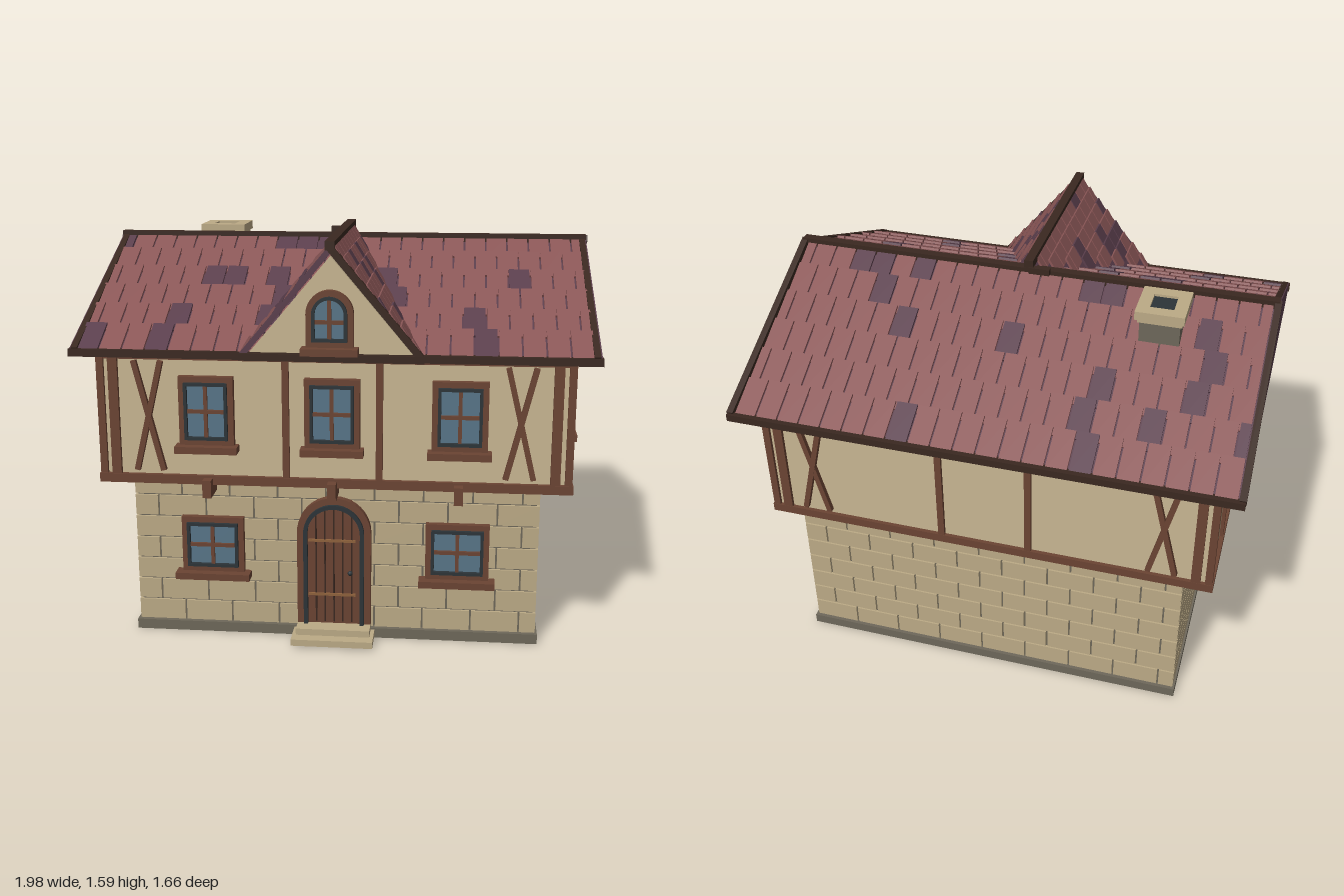
import * as THREE from 'three';
import { mergeGeometries } from 'three/addons/utils/BufferGeometryUtils.js';

const mat = (name, color) => Object.assign(new THREE.MeshStandardMaterial({ color }), { name });
const M = {
  plaster: mat('plaster', 0xc8b692), stone: mat('stone', 0xbcaa86), grey: mat('greyStone', 0x6e685a),
  timber: mat('timber', 0x6b4433), dark: mat('darkTimber', 0x3a2820), tile: mat('redTile', 0x8a5656),
  purple: mat('purpleTile', 0x5a3e4c), iron: mat('darkLining', 0x2c3438), glass: mat('glass', 0x587588),
  brass: mat('brass', 0x8f623c),
};
const V = (x, y, z) => new THREE.Vector3(x, y, z);

function add(parent, name, geo, material) {
  const m = new THREE.Mesh(geo, material);
  m.name = name;
  parent.add(m);
  return m;
}
// Box given by its lower and upper limits on each axis
function box(x0, x1, y0, y1, z0, z1) {
  return new THREE.BoxGeometry(x1 - x0, y1 - y0, z1 - z0).translate((x0 + x1) / 2, (y0 + y1) / 2, (z0 + z1) / 2);
}
// Square bar from p to q; side is a direction across its width
function bar(p, q, w, h, side) {
  const d = q.clone().sub(p), len = d.length(), v = d.normalize();
  const n = side.clone().cross(v).normalize(), u = v.clone().cross(n);
  return new THREE.BoxGeometry(w, len, h).applyMatrix4(
    new THREE.Matrix4().makeBasis(u, v, n).setPosition(p.clone().add(q).multiplyScalar(0.5)));
}
// Opening outline, square or round-topped, standing on y0
function outline(w, y0, y1, arched, Type = THREE.Shape) {
  const s = new Type(), r = w / 2;
  s.moveTo(-r, y0).lineTo(r, y0);
  if (arched) s.lineTo(r, y1 - r).absarc(0, y1 - r, r, 0, Math.PI, false);
  else s.lineTo(r, y1).lineTo(-r, y1);
  s.lineTo(-r, y0);
  return s;
}
function ring(w, y0, y1, t, arched, depth, bottom = t) {
  const s = outline(w, y0, y1, arched);
  s.holes.push(outline(w - 2 * t, y0 + bottom, y1 - t, arched, THREE.Path));
  return new THREE.ExtrudeGeometry(s, { depth, bevelEnabled: false, curveSegments: 10 });
}
const slab = (shape, depth) => new THREE.ExtrudeGeometry(shape, { depth, bevelEnabled: false, curveSegments: 10 });

function makeWindow(w, h, sillW, arched = false, bar0 = 0.5) {
  const g = new THREE.Group();
  g.name = 'window';
  add(g, 'windowFrame', ring(w, 0, h, 0.022, arched, 0.027), M.timber);
  add(g, 'windowLining', ring(w - 0.044, 0.022, h - 0.022, 0.012, arched, 0.04), M.iron);
  add(g, 'windowGlass', slab(outline(w - 0.06, 0.03, h - 0.03, arched), 0.025), M.glass);
  const y = h * bar0;
  add(g, 'windowBars', mergeGeometries([
    box(-0.007, 0.007, 0.03, h - 0.03, 0.02, 0.036),
    box(-w / 2 + 0.03, w / 2 - 0.03, y - 0.007, y + 0.007, 0.02, 0.036)]), M.timber);
  add(g, 'windowSill', box(-sillW / 2, sillW / 2, -0.027, 0, 0, 0.06), M.timber);
  return g;
}

// Small seeded generator for tile colours
let seed = 11;
const rand = () => (seed = (seed * 16807) % 2147483647) / 2147483647;

// Rows of tilted tiles; range(t) gives the start and end along u for a row at fraction t up the slope
function tileRoof(parent, name, o, u, v, length, rows, width, range) {
  const n = u.clone().cross(v), h = length / rows, sets = [[], []];
  for (let r = 0; r < rows; r++) {
    const [a, b] = range((r + 0.3) / rows);
    const len = r === rows - 1 ? h : h * 1.2;
    for (let s = a - (r % 2) * width / 2; s < b - 0.005; s += width) {
      const s0 = Math.max(s, a), s1 = Math.min(s + width, b);
      if (s1 - s0 < 0.02) continue;
      const g = new THREE.BoxGeometry(s1 - s0 - 0.007, len, 0.009).rotateX(0.01 / h);
      const c = o.clone().addScaledVector(u, (s0 + s1) / 2).addScaledVector(v, r * h + len / 2).addScaledVector(n, 0.012);
      g.applyMatrix4(new THREE.Matrix4().makeBasis(u, v, n).setPosition(c));
      sets[rand() < 0.15 ? 1 : 0].push(g);
    }
  }
  sets.forEach((l, i) => l.length && add(parent, name + (i ? 'PurpleTiles' : 'RedTiles'), mergeGeometries(l), i ? M.purple : M.tile));
}

// Staggered stone blocks over one wall of the ground floor
function stoneWall(width) {
  const list = [], rowH = 0.0885, w = 0.19;
  for (let r = 0; r < 7; r++) {
    const y0 = 0.04 + r * rowH, y1 = Math.min(y0 + rowH - 0.007, 0.645);
    for (let s = -width / 2 - (r % 2) * w / 2; s < width / 2 - 0.01; s += w) {
      const a = Math.max(s, -width / 2), b = Math.min(s + w - 0.007, width / 2);
      if (b - a > 0.015) list.push(box(a, b, y0, y1, -0.01, 0.01));
    }
  }
  return mergeGeometries(list);
}

function place(parent, obj, x, y, z, ry = 0) {
  obj.position.set(x, y, z);
  obj.rotation.y = ry;
  parent.add(obj);
}

export function createModel() {
  const house = new THREE.Group();
  house.name = 'house';
  const part = (name, geo, m) => add(house, name, geo, m);

  // Ground floor
  part('plinth', box(-0.8, 0.8, 0, 0.04, -0.73, 0.66), M.grey);
  part('mortarCore', box(-0.782, 0.782, 0.03, 0.645, -0.706, 0.632), M.grey);
  [[0, 0.632, 0, 1.58], [0, -0.706, Math.PI, 1.58], [0.782, -0.037, Math.PI / 2, 1.352], [-0.782, -0.037, -Math.PI / 2, 1.352]]
    .forEach(([x, z, ry, w]) => {
      const m = part('stoneBlocks', stoneWall(w), M.stone);
      m.position.set(x, 0, z);
      m.rotation.y = ry;
    });
  part('lowerStep', box(-0.16, 0.16, 0.008, 0.034, 0.63, 0.78), M.stone);
  part('upperStep', box(-0.145, 0.145, 0.034, 0.06, 0.63, 0.735), M.stone);

  // Arched door
  const door = new THREE.Group();
  door.name = 'door';
  add(door, 'doorFrame', ring(0.29, 0, 0.525, 0.026, true, 0.034, 0), M.timber);
  add(door, 'doorLining', ring(0.238, 0, 0.499, 0.016, true, 0.048, 0), M.iron);
  add(door, 'doorLeaf', slab(outline(0.21, 0, 0.485, true), 0.03), M.timber);
  const seams = [-0.07, -0.035, 0, 0.035, 0.07].map(x =>
    box(x - 0.003, x + 0.003, 0.01, 0.375 + Math.sqrt(0.103 ** 2 - x * x), 0.028, 0.033));
  add(door, 'plankSeams', mergeGeometries(seams), M.dark);
  add(door, 'doorHinges', mergeGeometries([0.125, 0.35].map(y => box(-0.1, 0.085, y - 0.005, y + 0.005, 0.03, 0.037))), M.brass);
  add(door, 'doorHandle', new THREE.SphereGeometry(0.01, 10, 8).translate(0.065, 0.22, 0.042), M.iron);
  place(house, door, 0, 0.058, 0.638);

  // Upper floor with timber framing
  part('upperWalls', box(-0.89, 0.89, 0.65, 1.155, -0.73, 0.695), M.plaster);
  part('floorBeam', box(-0.908, 0.908, 0.637, 0.672, -0.745, 0.713), M.timber);
  part('topBeam', box(-0.9, 0.9, 1.125, 1.15, -0.74, 0.705), M.timber);
  const posts = [], braces = [];
  for (const [z0, z1, zb] of [[0.68, 0.71, 0.704], [-0.744, -0.715, -0.739]]) {
    for (const [x, w] of [[-0.84, 0.037], [-0.178, 0.026], [0.178, 0.026], [0.84, 0.037]])
      posts.push(box(x - w / 2, x + w / 2, 0.66, 1.14, z0, z1));
    for (const s of [-1, 1]) for (const t of [-1, 1])
      braces.push(bar(V(s * 0.706 - t * 0.052, 0.69, zb), V(s * 0.706 + t * 0.052, 1.12, zb + t * 0.002), 0.021, 0.022, V(1, 0, 0)));
  }
  for (const s of [-1, 1]) for (const z of [0.693, 0.405, -0.017, -0.44, -0.728])
    posts.push(box(s * 0.89 - 0.014, s * 0.89 + 0.014, 0.66, 1.14, z - 0.015, z + 0.015));
  part('posts', mergeGeometries(posts), M.timber);
  part('crossBraces', mergeGeometries(braces), M.timber);
  part('corbels', mergeGeometries([-0.48, 0, 0.48].map(x => box(x - 0.017, x + 0.017, 0.595, 0.664, 0.62, 0.752))), M.timber);

  // Windows
  for (const x of [-0.48, 0, 0.48]) place(house, makeWindow(0.21, 0.267, 0.24), x, 0.798, 0.696);
  for (const x of [-0.48, 0.48]) place(house, makeWindow(0.246, 0.225, 0.295), x, 0.262, 0.64);
  for (const s of [-1, 1]) for (const z of [0.247, -0.242])
    place(house, makeWindow(0.185, 0.262, 0.22), s * 0.89, 0.772, z, s * Math.PI / 2);

  // Main roof
  const ridge = V(0, 1.5, -0.035), front = V(0, 1.157, 0.755), back = V(0, 1.157, -0.825);
  const prism = (lift, x0, x1) => {
    const s = new THREE.Shape();
    s.moveTo(front.z, 1.145).lineTo(front.z, 1.155 + lift).lineTo(ridge.z, ridge.y + lift).lineTo(back.z, 1.155).lineTo(back.z, 1.145);
    return slab(s, x1 - x0).rotateY(-Math.PI / 2).translate(x1, 0, 0);
  };
  part('roofCore', prism(0, -0.975, 0.975), M.purple);
  part('gablePanels', mergeGeometries([prism(0.02, -0.985, -0.975), prism(0.02, 0.975, 0.985)]), M.purple);
  const slopes = [['front', front, V(1, 0, 0), -0.965], ['back', back, V(-1, 0, 0), -0.965]];
  for (const [name, o, u, a] of slopes) {
    const v = ridge.clone().sub(o), len = v.length();
    tileRoof(house, name, o, u, v.normalize(), len, 6, 0.0877, () => [a, -a]);
  }
  const trim = [
    box(-0.99, 0.99, 1.143, 1.172, 0.735, 0.765), box(-0.99, 0.99, 1.143, 1.172, -0.84, -0.81),
    box(-0.985, 0.985, 1.5, 1.533, -0.053, -0.017)];
  for (const s of [-1, 1]) {
    const at = (p, x, dy) => V(s * x, p.y + dy, p.z);
    trim.push(bar(at(back, 0.979, 0.008), at(ridge, 0.979, 0.018), 0.026, 0.03, V(1, 0, 0)));
    trim.push(bar(at(front, 0.968, 0.008), at(ridge, 0.968, 0.011), 0.024, 0.026, V(1, 0, 0)));
  }
  part('roofTrim', mergeGeometries(trim), M.dark);

  // Front dormer
  const dz = 0.765, top = 1.555, foot = 1.157, half = 0.335;
  const zAt = y => front.z + (ridge.z - front.z) * Math.min(1, (y - front.y) / (ridge.y - front.y));
  const tri = (w, y0, y1) => new THREE.Shape([new THREE.Vector2(-w, y0), new THREE.Vector2(w, y0), new THREE.Vector2(0, y1)]);
  part('dormerWall', slab(tri(half - 0.02, foot, top - 0.025), 0.02).translate(0, 0, 0.738), M.plaster);
  for (const s of [-1, 1]) {
    // Sloping deck that tapers back into the main roof
    const deck = new THREE.BufferGeometry();
    const a = [s * half, foot, dz], b = [0, top, dz], c = [0, top, -0.08], d = [s * half, foot, 0.74];
    const tris = s > 0 ? [a, c, b, a, d, c] : [a, b, c, a, c, d];
    deck.setAttribute('position', new THREE.Float32BufferAttribute(tris.flat(), 3));
    deck.computeVertexNormals();
    const deckMat = M.purple;
    deckMat.side = THREE.DoubleSide;
    part('dormerDeck', deck, deckMat);
    const v = V(-s * half, top - foot, 0), len = v.length();
    v.normalize();
    const u = V(0, 0, -s);
    tileRoof(house, 'dormer', V(s * half, foot, 0), u, v, len, 8, 0.085, t => {
      const zb = zAt(foot + t * (top - foot)) + 0.01;
      return s > 0 ? [-dz, -zb] : [zb, dz];
    });
  }
  part('dormerVerge', bar(V(-half, foot, 0.76), V(0, top, 0.76), 0.02, 0.022, V(0, 0, 1)), M.purple);
  part('dormerTrim', mergeGeometries([
    bar(V(half, foot + 0.003, 0.762), V(0, top + 0.005, 0.762), 0.026, 0.026, V(0, 0, 1)),
    box(-half - 0.005, half + 0.01, 1.143, 1.17, 0.75, 0.778),
    box(-0.018, 0.018, 1.552, 1.585, -0.085, 0.777),
    box(-0.085, 0.0, 1.53, 1.556, -0.09, -0.066)]), M.dark);
  place(house, makeWindow(0.175, 0.21, 0.21, true, 0.45), 0, 1.2, 0.765);

  // Chimney with a square flue
  const chimney = new THREE.Group();
  chimney.name = 'chimney';
  add(chimney, 'chimneyStack', box(-0.078, 0.078, -0.22, 0, -0.078, 0.078), M.grey);
  add(chimney, 'chimneyBand', box(-0.086, 0.086, -0.018, 0.002, -0.086, 0.086), M.stone);
  const cap = outline(0.19, -0.1, 0.1, false);
  cap.holes.push(outline(0.092, -0.05, 0.05, false, THREE.Path));
  add(chimney, 'chimneyCap', slab(cap, 0.035).rotateX(-Math.PI / 2), M.stone);
  add(chimney, 'chimneyFlue', box(-0.048, 0.048, 0, 0.025, -0.052, 0.052), M.iron);
  place(house, chimney, -0.565, 1.52, -0.205);

  return house;
}
